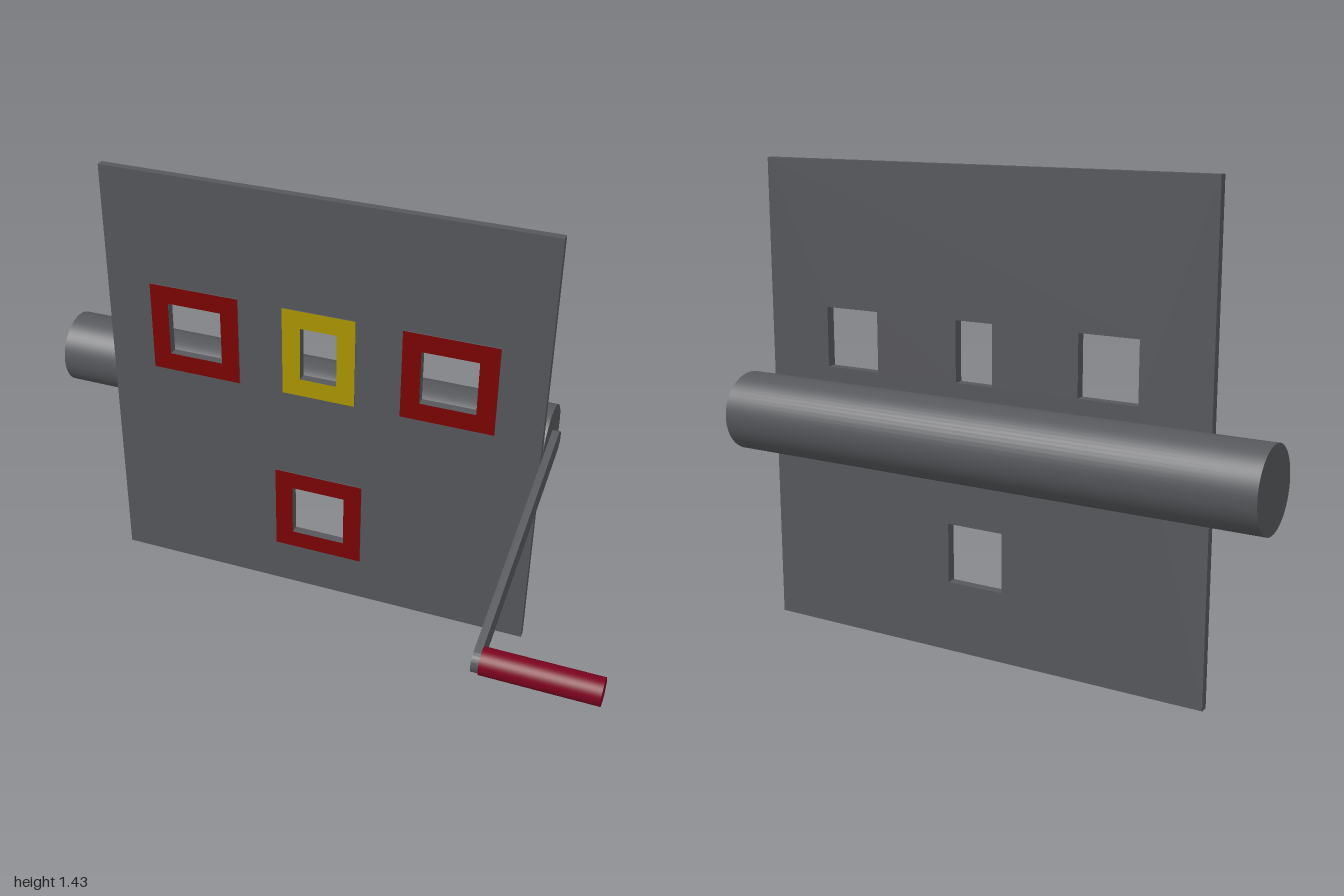
import * as THREE from 'three';
import { toCreasedNormals } from 'three/addons/utils/BufferGeometryUtils.js';

const material = (color) => new THREE.MeshStandardMaterial({ color });

// Traces a rectangle given its centre and size
function rect(path, x, y, w, h) {
  path.moveTo(x - w / 2, y - h / 2);
  path.lineTo(x + w / 2, y - h / 2);
  path.lineTo(x + w / 2, y + h / 2);
  path.lineTo(x - w / 2, y + h / 2);
  path.closePath();
  return path;
}

const extrude = (shape, depth) =>
  new THREE.ExtrudeGeometry(shape, { depth, bevelEnabled: false, curveSegments: 24 });

export function createModel() {
  const group = new THREE.Group();
  const darkGrey = material(0x57585c);
  const red = material(0x7c0304);
  const yellow = material(0xae9802);
  const gripRed = material(0x7c0320);

  const add = (name, geometry, mat) => {
    const mesh = new THREE.Mesh(geometry, mat);
    mesh.name = name;
    group.add(mesh);
    return mesh;
  };

  // Openings: centre, width and height of the hole, and frame colour
  const border = 0.06;
  const windows = [
    { name: 'rightWindowFrame', x: -0.489, y: 0.91, w: 0.18, h: 0.18, mat: red },
    { name: 'middleWindowFrame', x: -0.071, y: 0.91, w: 0.12, h: 0.18, mat: yellow },
    { name: 'leftWindowFrame', x: 0.348, y: 0.91, w: 0.18, h: 0.18, mat: red },
    { name: 'lowerWindowFrame', x: -0.071, y: 0.305, w: 0.18, h: 0.18, mat: red },
  ];

  // Upright panel with openings
  const back = -0.256, front = -0.231;
  const panel = rect(new THREE.Shape(), -0.072, 0.7165, 1.433, 1.433);
  for (const { x, y, w, h } of windows) panel.holes.push(rect(new THREE.Path(), x, y, w, h));
  add('panel', extrude(panel, front - back), darkGrey).position.z = back;

  // Thin frames on the front face, coloured on the face and grey on the edges
  for (const { name, x, y, w, h, mat } of windows) {
    const frame = rect(new THREE.Shape(), x, y, w + 2 * border, h + 2 * border);
    frame.holes.push(rect(new THREE.Path(), x, y, w, h));
    add(name, extrude(frame, 0.004), [mat, darkGrey]).position.z = front;
  }

  // Cylinder lying along x
  const rod = (name, radius, x0, x1, y, z, mat) => {
    const geometry = new THREE.CylinderGeometry(radius, radius, x1 - x0, 64).rotateZ(Math.PI / 2);
    add(name, geometry, mat).position.set((x0 + x1) / 2, y, z);
  };
  const axle = { y: 0.686, z: -0.373 };
  const handle = { y: 0.486, z: 0.449 };
  rod('drum', 0.117, -1, 0.645, axle.y, axle.z, darkGrey);
  rod('crankGrip', 0.04, 0.667, 1, handle.y, handle.z, gripRed);

  // Crank arm: flat bar with round ends, drawn in the side plane
  const angle = Math.atan2(handle.y - axle.y, axle.z - handle.z);
  const arm = new THREE.Shape();
  arm.absarc(-handle.z, handle.y, 0.036, angle - Math.PI / 2, angle + Math.PI / 2);
  arm.absarc(-axle.z, axle.y, 0.036, angle + Math.PI / 2, angle + Math.PI * 1.5);
  arm.closePath();
  const armGeometry = toCreasedNormals(extrude(arm, 0.022), 0.6).rotateY(Math.PI / 2);
  add('crankArm', armGeometry, darkGrey).position.x = 0.645;

  return group;
}
